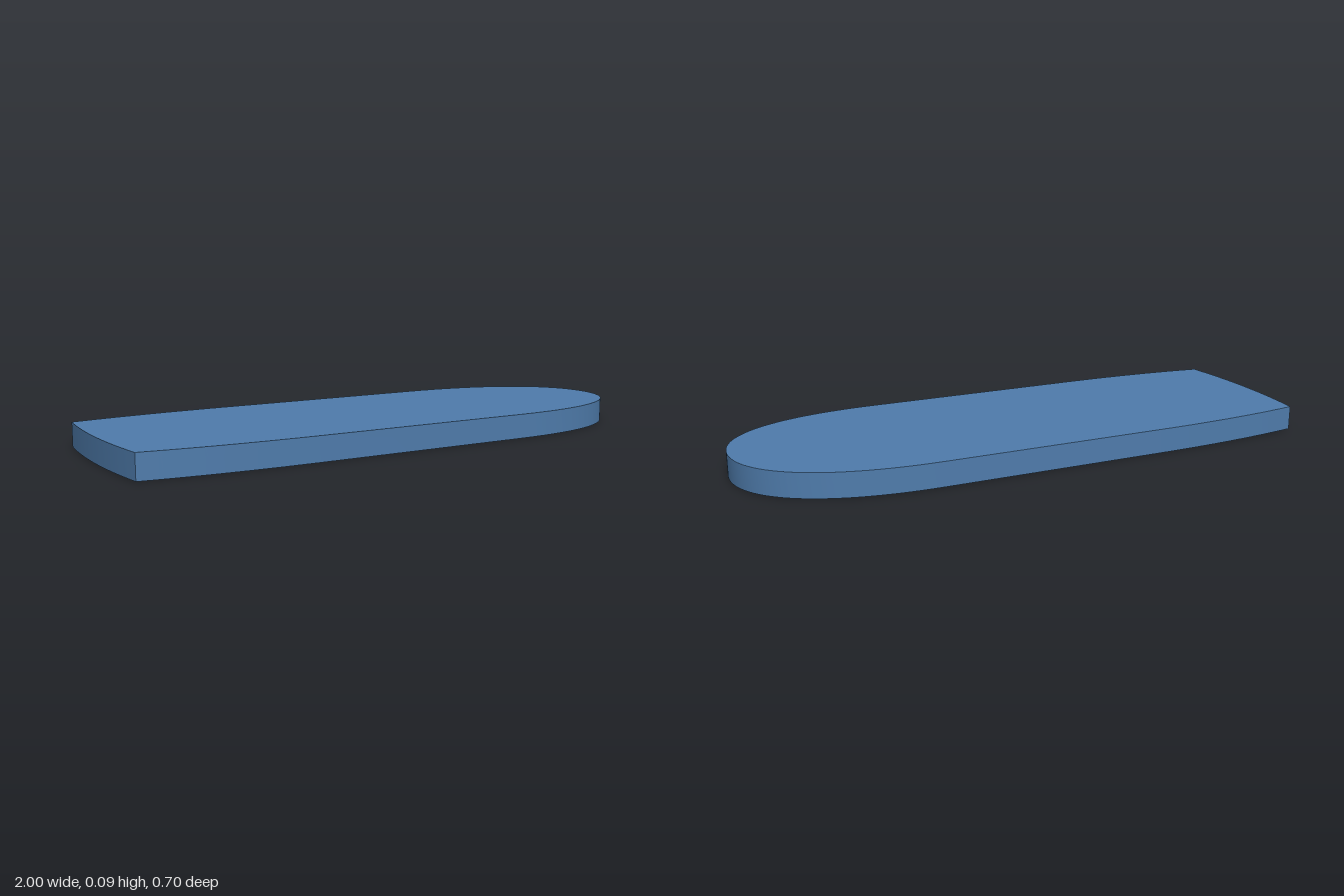
import * as THREE from 'three';
import { toCreasedNormals } from 'three/addons/utils/BufferGeometryUtils.js';

const THICKNESS = 0.085;
const HALF_WIDTH = 0.35;

// Plan outline: rounded nose at +x, straight sides, tapering to a slightly bowed tail at -x
function boardOutline() {
  const s = new THREE.Shape();
  s.moveTo(-0.98, -0.31);
  s.quadraticCurveTo(-0.72, -HALF_WIDTH, -0.4, -HALF_WIDTH);
  s.lineTo(0.4, -HALF_WIDTH);
  s.bezierCurveTo(0.8, -HALF_WIDTH, 1, -0.2, 1, 0);
  s.bezierCurveTo(1, 0.2, 0.8, HALF_WIDTH, 0.4, HALF_WIDTH);
  s.lineTo(-0.4, HALF_WIDTH);
  s.quadraticCurveTo(-0.72, HALF_WIDTH, -0.98, 0.31);
  s.quadraticCurveTo(-1.02, 0, -0.98, -0.31);
  return s;
}

export function createModel() {
  const group = new THREE.Group();
  group.name = 'board';

  // Flat slab, laid down with its underside on the ground
  const slab = new THREE.ExtrudeGeometry(boardOutline(), {
    depth: THICKNESS, bevelEnabled: false, curveSegments: 32,
  });
  slab.rotateX(-Math.PI / 2);

  const deck = new THREE.Mesh(
    toCreasedNormals(slab, Math.PI / 6),
    new THREE.MeshStandardMaterial({ color: 0x4f7cac }),
  );
  deck.name = 'deck';
  group.add(deck);
  return group;
}
